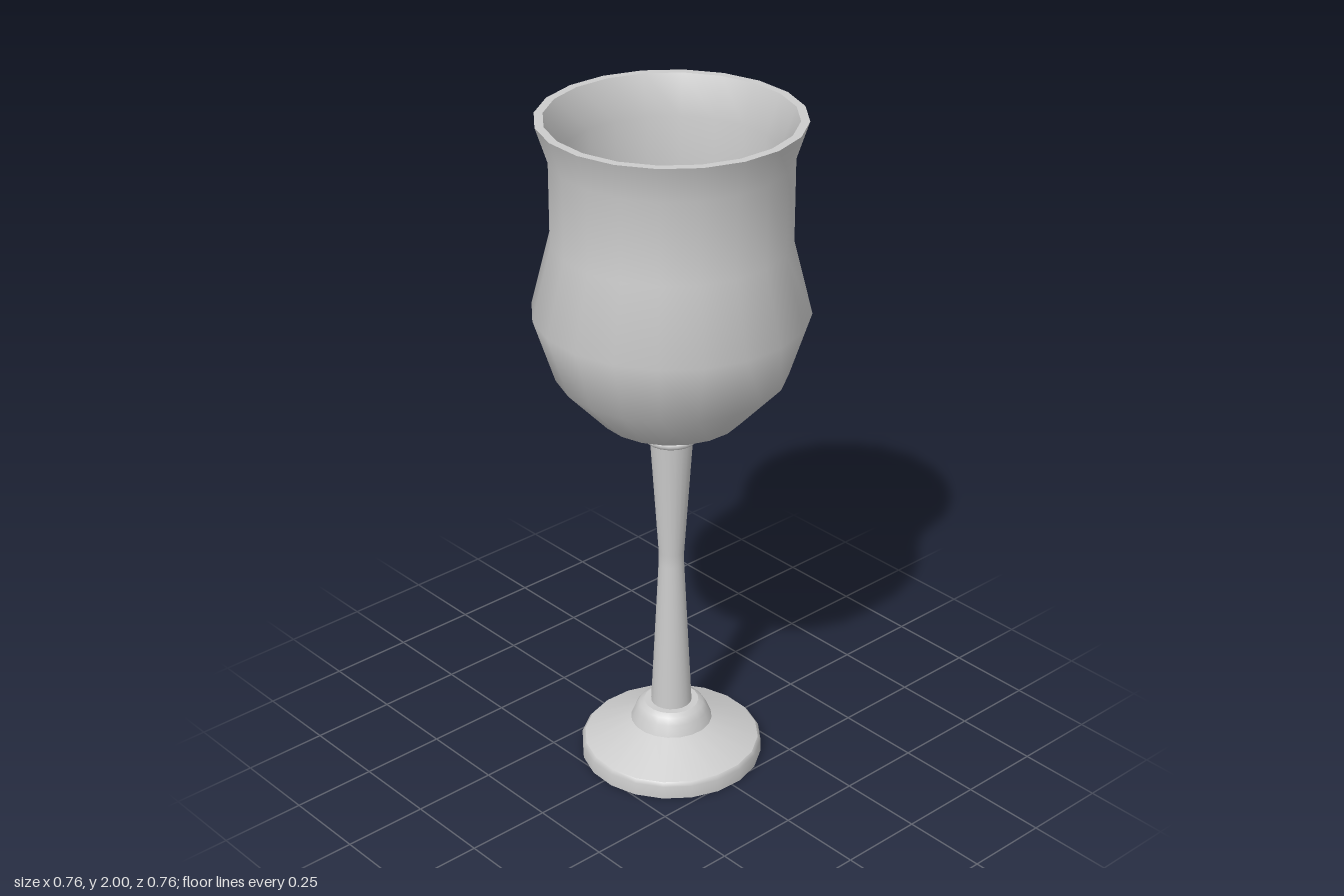
import * as THREE from 'three';

const SIDES = 20;
const TURN = 0.117; // small rotation of the facets about the axis

const material = new THREE.MeshStandardMaterial({ color: 0xcccccc, side: THREE.DoubleSide });

// Revolve a [radius, height] profile; smooth within one profile, sharp between profiles
function turned(name, profile) {
  const points = profile.map(([r, y]) => new THREE.Vector2(r, y));
  const mesh = new THREE.Mesh(new THREE.LatheGeometry(points, SIDES, TURN), material);
  mesh.name = name;
  return mesh;
}

export function createModel() {
  const goblet = new THREE.Group();
  goblet.name = 'goblet';

  // Hollow foot: upright edge, sloping top and small domed collar
  const foot = new THREE.Group();
  foot.name = 'foot';
  foot.add(
    turned('footEdge', [[0.267, 0], [0.267, 0.04], [0.258, 0.051]]),
    turned('footSlope', [[0.258, 0.051], [0.12, 0.112]]),
    turned('footCollar', [[0.12, 0.112], [0.107, 0.145], [0.095, 0.163], [0.08, 0.172]]),
    turned('footCollarTop', [[0.08, 0.172], [0.06, 0.172]])
  );

  // Waisted stem
  const stem = turned('stem', [[0.06, 0.172], [0.037, 0.64], [0.037, 0.68], [0.061, 1.043]]);

  // Ring where the stem meets the bowl
  const ring = turned('stemRing', [[0.061, 1.043], [0.074, 1.045], [0.08, 1.053], [0.078, 1.061], [0.06, 1.064]]);

  // Bowl: outer wall, flat rim, inner wall and level floor
  const bowl = new THREE.Group();
  bowl.name = 'bowl';
  bowl.add(
    turned('bowlOuter', [
      [0.06, 1.055], [0.205, 1.13], [0.325, 1.26], [0.385, 1.447],
      [0.331, 1.66], [0.331, 1.895], [0.365, 2]
    ]),
    turned('bowlRim', [[0.365, 2], [0.341, 2]]),
    turned('bowlInner', [[0.341, 2], [0.298, 1.89], [0.298, 1.66], [0.31, 1.6]]),
    turned('bowlFloor', [[0.31, 1.6], [0, 1.6]])
  );

  goblet.add(foot, stem, ring, bowl);
  return goblet;
}
